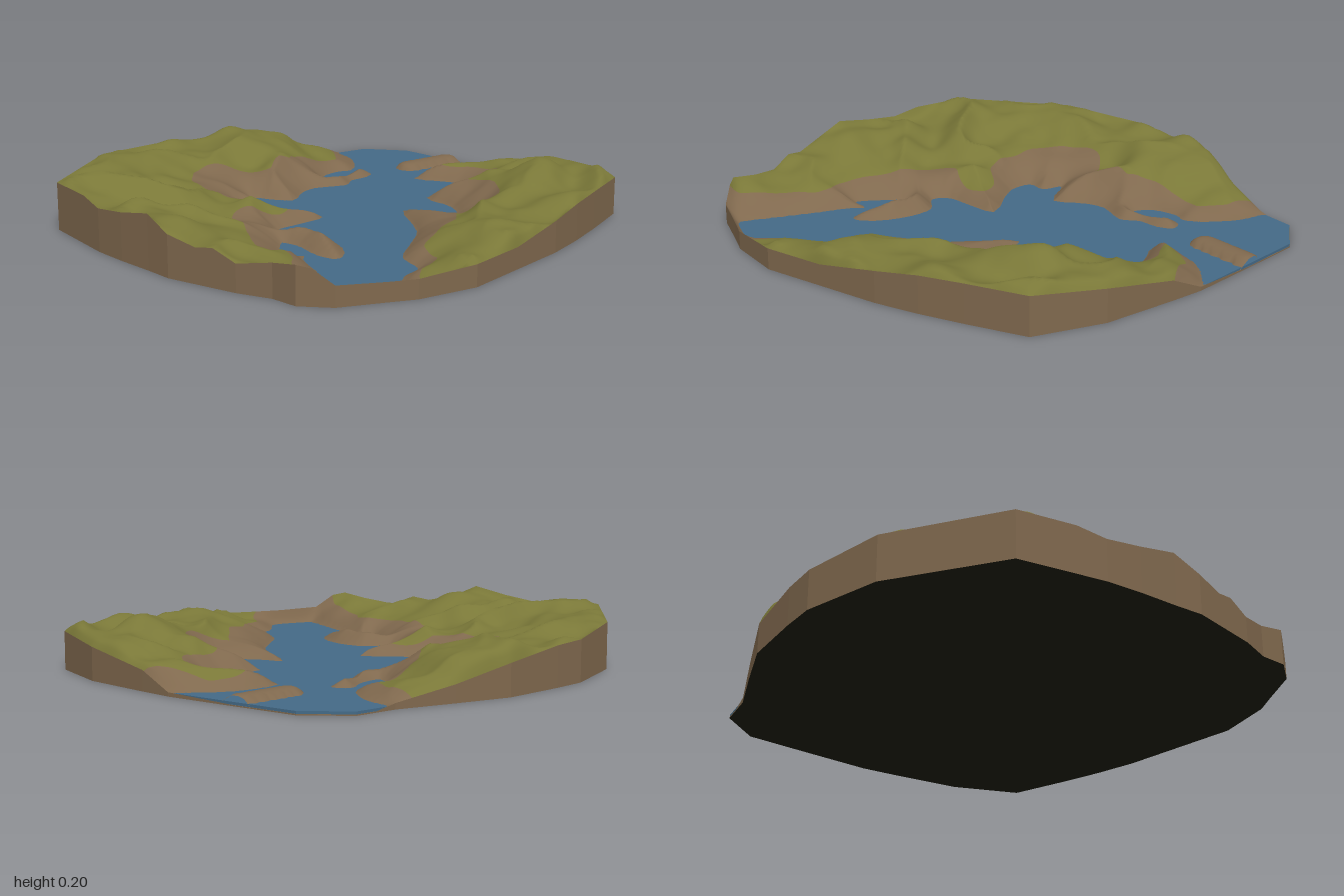
import * as THREE from 'three';

const WATER = 0.013;

// Rim of the land: x, z, height
const RIM = [
  [-0.04, -1, 0.004], [0.14, -0.99, 0.004], [0.34, -0.84, 0.004], [0.55, -0.68, 0.014], [0.64, -0.59, 0.07],
  [0.83, -0.39, 0.115], [0.957, -0.16, 0.135], [0.88, 0.05, 0.135], [0.82, 0.2, 0.13], [0.75, 0.35, 0.11],
  [0.63, 0.55, 0.075], [0.51, 0.75, 0.075], [0.34, 0.89, 0.065], [0.25, 0.93, 0.065], [0.1, 1, 0.07],
  [0.03, 1, 0.12], [-0.02, 1, 0.13], [-0.1, 0.94, 0.115], [-0.22, 0.9, 0.095], [-0.3, 0.86, 0.13], [-0.36, 0.83, 0.12],
  [-0.46, 0.78, 0.145], [-0.54, 0.71, 0.19], [-0.65, 0.62, 0.165], [-0.75, 0.53, 0.15], [-0.82, 0.45, 0.17],
  [-0.96, 0.29, 0.17], [-0.92, -0.16, 0.165], [-0.79, -0.43, 0.145], [-0.7, -0.53, 0.14], [-0.53, -0.7, 0.11],
  [-0.35, -0.8, 0.06], [-0.16, -0.9, 0.02], [-0.1, -0.95, 0.004],
];

// Lake shore, x and z: down the west side, up the east side, closed beyond the back rim
const SHORE = [
  -0.15, -0.92, -0.07, -0.81, -0.05, -0.63, -0.1, -0.6, -0.15, -0.5, -0.12, -0.44, -0.06, -0.51, -0.03, -0.6,
  0.03, -0.59, 0.02, -0.53, -0.03, -0.47, -0.04, -0.4, -0.15, -0.34, -0.19, -0.27, -0.21, -0.15, -0.37, -0.17,
  -0.33, -0.1, -0.38, -0.05, -0.31, 0.02, -0.07, 0.06, -0.13, 0.15, -0.2, 0.24, -0.18, 0.3, -0.08, 0.29,
  0, 0.35, 0.06, 0.47, 0.05, 0.55, -0.02, 0.52, -0.1, 0.42, -0.16, 0.39, -0.15, 0.5, -0.12, 0.58,
  -0.07, 0.53, -0.06, 0.58, 0, 0.7, 0.09, 0.9, 0.125, 0.975, 0.27, 0.905, 0.28, 0.71, 0.32, 0.62,
  0.26, 0.52, 0.27, 0.35, 0.28, 0.2, 0.21, -0.06, 0.28, -0.03, 0.4, -0.02, 0.38, -0.13, 0.28, -0.25,
  0.43, -0.41, 0.38, -0.48, 0.21, -0.53, 0.35, -0.66, 0.56, -0.69, 0.75, -0.75, 0.6, -1.1, -0.1, -1.2, -0.2, -1,
];

// Hills: x, z, height
const HILLS = [
  [-0.53, 0.7, 0.19], [-0.79, 0.25, 0.18], [-0.62, 0, 0.15], [-0.75, -0.2, 0.165], [-0.5, -0.55, 0.175],
  [-0.4, -0.67, 0.15], [-0.22, -0.8, 0.08], [-0.55, -0.3, 0.14], [-0.35, 0.45, 0.12], [-0.5, 0.45, 0.14],
  [-0.26, 0.14, 0.14], [-0.48, 0.1, 0.13], [-0.25, 0.7, 0.13], [-0.12, 0.85, 0.11], [0, 0.97, 0.15],
  [0.69, -0.12, 0.19], [0.62, -0.35, 0.145], [0.52, -0.58, 0.14], [0.6, 0.15, 0.15], [0.55, 0.4, 0.12],
  [0.42, 0.6, 0.11], [0.4, 0.8, 0.09], [0.82, -0.1, 0.145], [0.45, 0.05, 0.11], [0.7, 0.35, 0.11],
  [-0.87, 0.1, 0.16], [-0.65, 0.48, 0.15],
];

// Widening or narrowing of the bare bank: x, z, radius, amount
const BANKS = [[-0.5, -0.17, 0.17, 0.14], [-0.28, -0.36, 0.1, 0.05], [-0.3, 0.32, 0.18, 0.07], [-0.26, 0.14, 0.06, -0.13],
  [0.47, 0, 0.14, 0.06], [0.43, 0.22, 0.15, 0.04], [0.42, -0.6, 0.12, -0.03], [0.38, 0.75, 0.2, -0.045],
  [-0.05, 0.93, 0.15, -0.03]];

const clamp = THREE.MathUtils.clamp;
const smooth = (t) => t * t * (3 - 2 * t);
const hash = (i, j) => { const s = Math.sin(i * 127.1 + j * 311.7 + 5) * 43758.5453; return s - Math.floor(s); };

// Value noise from -1 to 1
function noise(x, z) {
  const i = Math.floor(x), j = Math.floor(z), u = smooth(x - i), v = smooth(z - j);
  const a = hash(i, j) * (1 - u) + hash(i + 1, j) * u;
  const b = hash(i, j + 1) * (1 - u) + hash(i + 1, j + 1) * u;
  return (a * (1 - v) + b * v) * 2 - 1;
}

function segmentDistance(x, z, ax, az, bx, bz) {
  const dx = bx - ax, dz = bz - az;
  const t = clamp(((x - ax) * dx + (z - az) * dz) / (dx * dx + dz * dz || 1), 0, 1);
  return Math.hypot(x - ax - dx * t, z - az - dz * t);
}

// Distance to the shore, positive on land
function shoreDistance(shore, x, z) {
  let best = Infinity, inside = false;
  for (let i = 0, j = shore.length - 1; i < shore.length; j = i++) {
    const a = shore[i], b = shore[j];
    best = Math.min(best, segmentDistance(x, z, a.x, a.z, b.x, b.z));
    if ((a.z > z) !== (b.z > z) && x < ((b.x - a.x) * (z - a.z)) / (b.z - a.z) + a.x) inside = !inside;
  }
  return inside ? -best : best;
}

// Ground height at a point; t runs from 0 at the centre to 1 at the rim
function groundHeight(x, z, t, rimHeight, d) {
  let sum = 0, weight = 0;
  for (const [hx, hz, hh] of HILLS) {
    const w = 1 / (((x - hx) ** 2 + (z - hz) ** 2 + 0.004) ** 2);
    sum += w * hh;
    weight += w;
  }
  let h = Math.max(0.003, WATER + 0.3 * d);
  if (d > 0) {
    const ridges = 0.028 * (0.75 - 2 * Math.abs(noise(x * 5 + 3, z * 6))) + 0.012 * noise(x * 11, z * 11 + 7);
    h = WATER + (sum / weight - WATER) * (1 - Math.exp(-d / 0.13)) + ridges * Math.min(1, d / 0.2);
    h = Math.max(h, WATER + 0.1 * d);
  }
  h += (rimHeight - h) * t ** 60;
  const q = segmentDistance(x, z, 0.175, -0.7, 0.31, -0.83) / 0.055; // small island
  return q < 1 ? Math.max(h, WATER + 0.024 * (1 - q ** 3)) : h;
}

function bankWidth(x, z) {
  let w = 0.092 + 0.025 * noise(x * 6, z * 6 + 2) + 0.015 * noise(x * 14, z * 14);
  for (const [bx, bz, r, amount] of BANKS) w += amount * Math.exp(-((x - bx) ** 2 + (z - bz) ** 2) / (r * r));
  return w;
}

// Rim resampled into short, even steps
function sampleRim() {
  const out = [];
  RIM.forEach((a, k) => {
    const b = RIM[(k + 1) % RIM.length];
    const n = Math.ceil(Math.hypot(b[0] - a[0], b[1] - a[1]) / 0.025);
    for (let i = 0; i < n; i++) out.push(a.map((v, c) => v + ((b[c] - v) * i) / n));
  });
  return out;
}

// Hills and banks in one smooth surface, split along the bank line
function terrainGeometry(rim, shore) {
  const RINGS = 90, n = rim.length, pos = [], bank = [], sides = [[], []], cuts = new Map();
  const addPoint = (x, z, t, rimHeight) => {
    const d = shoreDistance(shore, x, z);
    pos.push(x, groundHeight(x, z, t, rimHeight, d), z);
    bank.push(d - bankWidth(x, z) || 1e-6);
  };
  addPoint(0, 0, 0, 0);
  for (let r = 1; r <= RINGS; r++) for (const [x, z, h] of rim) addPoint((x * r) / RINGS, (z * r) / RINGS, r / RINGS, h);

  const cut = (a, b) => {
    const key = a < b ? a + '_' + b : b + '_' + a;
    if (!cuts.has(key)) {
      const t = bank[a] / (bank[a] - bank[b]);
      cuts.set(key, pos.length / 3);
      for (let c = 0; c < 3; c++) pos.push(pos[a * 3 + c] + (pos[b * 3 + c] - pos[a * 3 + c]) * t);
    }
    return cuts.get(key);
  };
  const triangle = (...v) => {
    const s = v.map((i) => (bank[i] > 0 ? 1 : 0)), total = s[0] + s[1] + s[2];
    if (total % 3 === 0) { sides[s[0]].push(...v); return; }
    const k = s.indexOf(total === 1 ? 1 : 0), o = v[k], p = v[(k + 1) % 3], q = v[(k + 2) % 3];
    const m = cut(o, p), w = cut(o, q);
    sides[s[k]].push(o, m, w);
    sides[1 - s[k]].push(m, p, q, m, q, w);
  };
  for (let i = 0; i < n; i++) {
    const j = (i + 1) % n;
    triangle(0, 1 + j, 1 + i);
    for (let r = 0; r < RINGS - 1; r++) {
      const a = 1 + r * n + i, b = 1 + r * n + j;
      triangle(a, b, b + n);
      triangle(a, b + n, a + n);
    }
  }
  const g = new THREE.BufferGeometry();
  g.setAttribute('position', new THREE.Float32BufferAttribute(pos, 3));
  g.setIndex([...sides[0], ...sides[1]]);
  g.addGroup(0, sides[0].length, 0);
  g.addGroup(sides[0].length, sides[1].length, 1);
  g.computeVertexNormals();
  return g;
}

function wallGeometry(rim) {
  const pos = [];
  rim.forEach(([x, z, h], i) => {
    const [x2, z2, h2] = rim[(i + 1) % rim.length];
    pos.push(x, h, z, x2, h2, z2, x, 0, z, x2, h2, z2, x2, 0, z2, x, 0, z);
  });
  const g = new THREE.BufferGeometry();
  g.setAttribute('position', new THREE.Float32BufferAttribute(pos, 3));
  g.computeVertexNormals();
  return g;
}

export function createModel() {
  const paint = (name, color) => Object.assign(new THREE.MeshStandardMaterial({ color }), { name });
  const grass = paint('olive grass', 0x7a7838);
  const earth = paint('brown earth', 0x80694e);
  const blue = paint('lake blue', 0x446a87);
  const dark = paint('dark underside', 0x1e1e0f);
  const group = new THREE.Group();
  group.name = 'lakeLandscape';
  const add = (name, geometry, material) => {
    const mesh = new THREE.Mesh(geometry, material);
    mesh.name = name;
    group.add(mesh);
    return mesh;
  };

  const rim = sampleRim();
  const controls = [];
  for (let i = 0; i < SHORE.length; i += 2) controls.push(new THREE.Vector3(SHORE[i], 0, SHORE[i + 1]));
  const shore = new THREE.CatmullRomCurve3(controls, true).getPoints(controls.length * 3);

  add('terrain', terrainGeometry(rim, shore), [earth, grass]);
  add('sideWall', wallGeometry(rim), earth);

  // Thin water sheet filling the hollow
  const sheet = new THREE.Shape(RIM.map(([x, z]) => new THREE.Vector2(x * 0.998, -z * 0.998)));
  const water = new THREE.ExtrudeGeometry(sheet, { depth: WATER - 0.004, bevelEnabled: false });
  add('lake', water.rotateX(-Math.PI / 2), blue).position.y = 0.004;

  // Flat underside
  const base = new THREE.Shape(RIM.map(([x, z]) => new THREE.Vector2(x, z)));
  add('underside', new THREE.ShapeGeometry(base).rotateX(Math.PI / 2), dark);
  return group;
}
